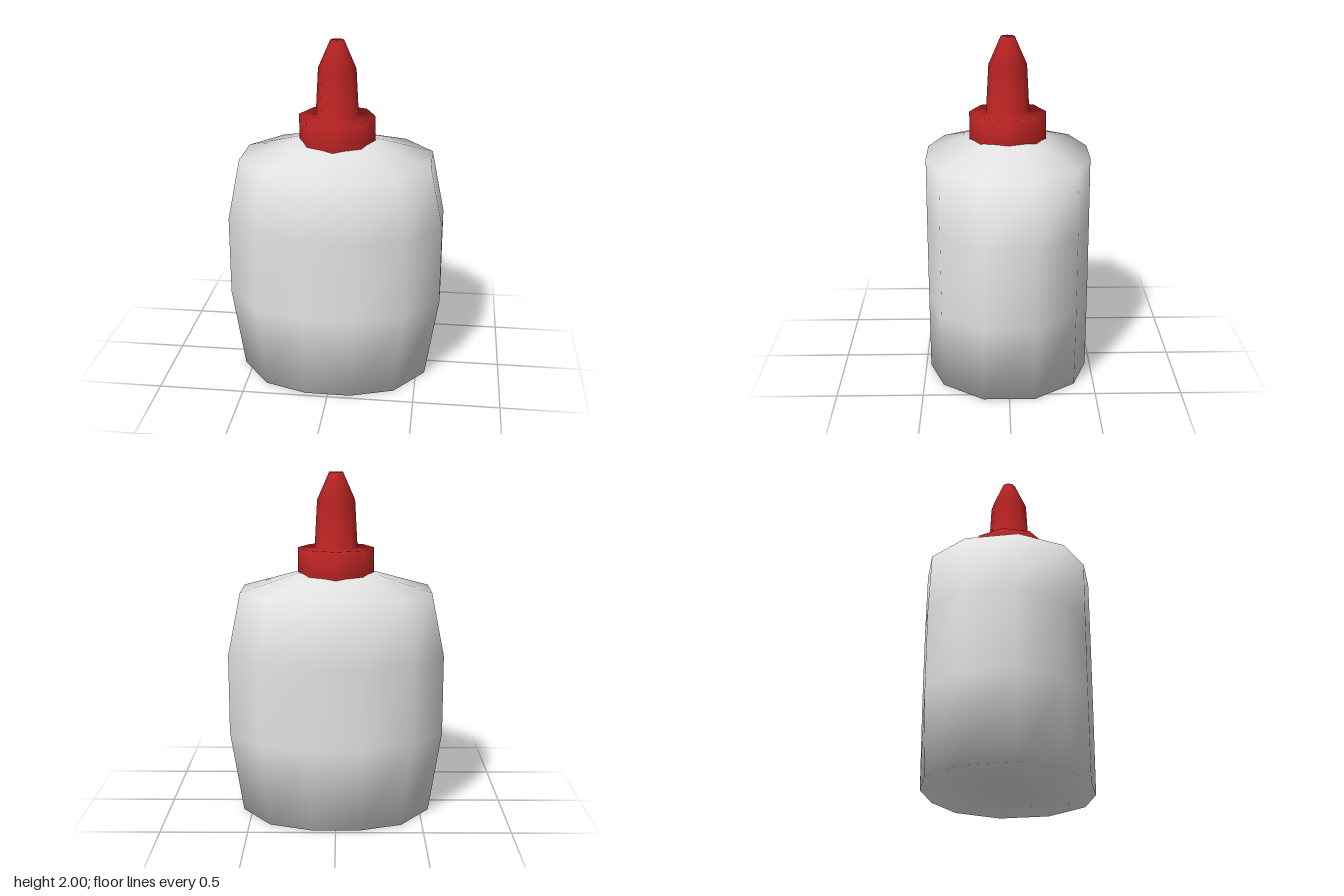
import * as THREE from 'three';

const white = new THREE.MeshStandardMaterial({ color: 0xe4e4e4 });
white.name = 'bottle white';
const red = new THREE.MeshStandardMaterial({ color: 0xb62222, side: THREE.DoubleSide });
red.name = 'cap red';

// Twelve-sided plan of the bottle at its widest, mirrored from one quarter
const quarter = [[0.15, 0.472], [0.432, 0.385], [0.628, 0.15]];
const back = [...quarter].reverse();
const plan = [
  ...quarter,
  ...back.map(([x, z]) => [x, -z]),
  ...quarter.map(([x, z]) => [-x, -z]),
  ...back.map(([x, z]) => [-x, z]),
];

// Sections as [height, width scale, depth scale], closed by flat ends,
// with smooth normals carried over every edge
function loft(sections) {
  const n = plan.length, pos = [], index = [];
  for (const [y, sx, sz] of sections) {
    for (const [x, z] of plan) pos.push(x * sx, y, z * sz);
  }
  const top = (sections.length - 1) * n;
  const bottomCentre = sections.length * n, topCentre = bottomCentre + 1;
  pos.push(0, sections[0][0], 0, 0, sections.at(-1)[0], 0);
  for (let j = 0; j < n; j++) {
    const k = (j + 1) % n;
    for (let i = 0; i < top; i += n) {
      index.push(i + j, i + k, i + n + k, i + j, i + n + k, i + n + j);
    }
    index.push(bottomCentre, k, j, topCentre, top + j, top + k);
  }
  const g = new THREE.BufferGeometry();
  g.setAttribute('position', new THREE.Float32BufferAttribute(pos, 3));
  g.setIndex(index);
  g.computeVertexNormals();
  return g;
}

export function createModel() {
  const model = new THREE.Group();
  model.name = 'squeezeBottle';

  // Body: flat base, bulging sides, sloping shoulder
  const body = new THREE.Mesh(loft([
    [0, 0.88, 1],
    [0.48, 1, 1],
    [0.95, 1, 1],
    [1.32, 0.88, 1],
    [1.42, 0.35, 0.345],
  ]), white);
  body.name = 'bottleBody';
  model.add(body);

  // Cap: eight-sided collar, open below, and tapered nozzle
  const profile = [
    [0.222, 1.4], [0.222, 1.565], [0.125, 1.565],
    [0.11, 1.84], [0.04, 2], [0, 2],
  ].map(([r, y]) => new THREE.Vector2(r, y));
  const cap = new THREE.Mesh(new THREE.LatheGeometry(profile, 8), red);
  cap.name = 'nozzleCap';
  model.add(cap);

  return model;
}
